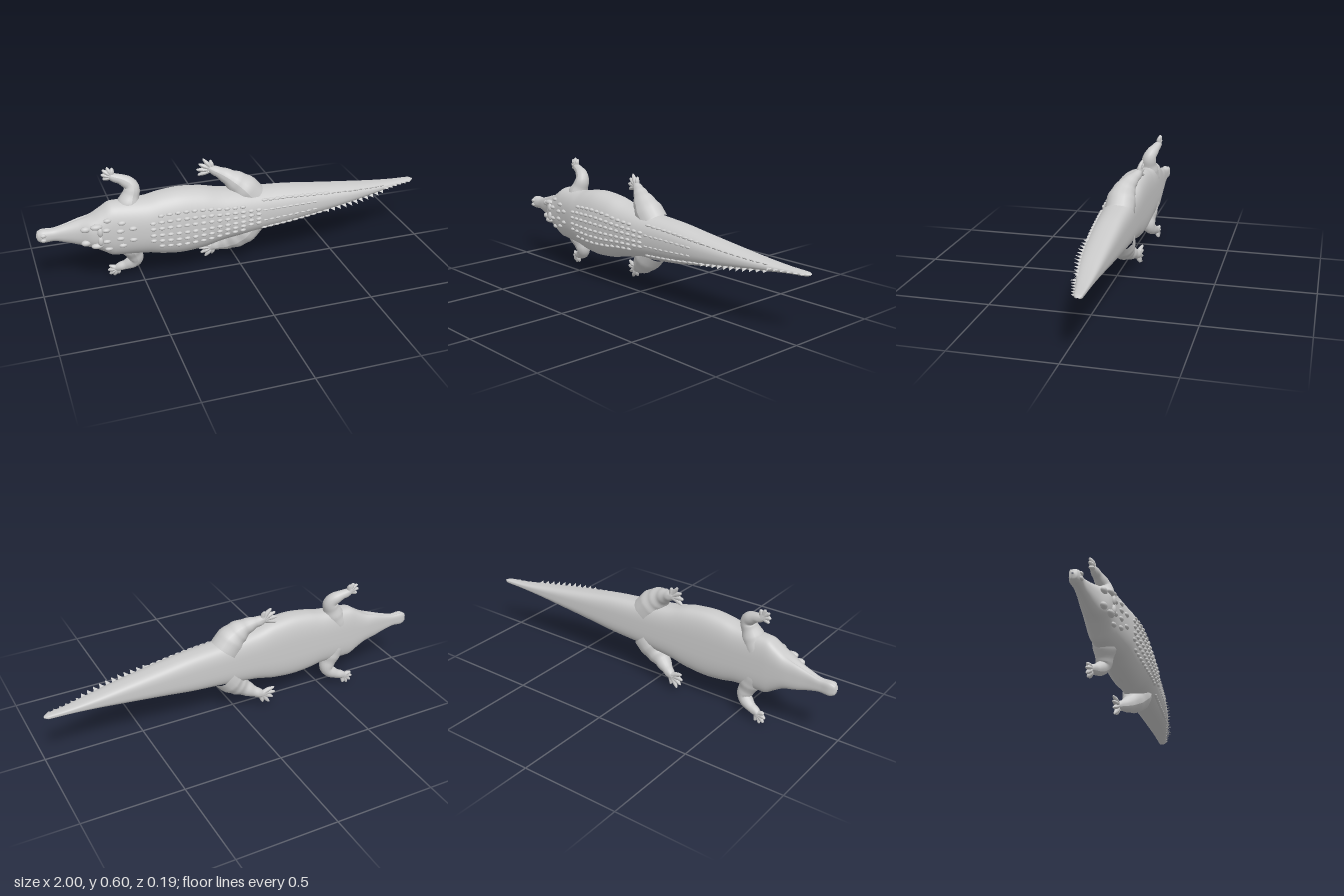
import * as THREE from 'three';
import { mergeGeometries } from 'three/addons/utils/BufferGeometryUtils.js';

// Body stations from snout to tail: x, half width, back z, belly z
const STATIONS = [
  [-1, 0.003, -0.06, -0.068], [-0.992, 0.024, -0.045, -0.082], [-0.965, 0.034, -0.034, -0.088],
  [-0.925, 0.032, -0.036, -0.085], [-0.87, 0.044, -0.026, -0.086], [-0.8, 0.066, -0.004, -0.092],
  [-0.74, 0.083, 0.03, -0.097], [-0.69, 0.112, 0.036, -0.099], [-0.64, 0.14, 0.042, -0.1],
  [-0.56, 0.142, 0.056, -0.1], [-0.48, 0.146, 0.07, -0.1], [-0.4, 0.162, 0.078, -0.1],
  [-0.31, 0.17, 0.084, -0.1], [-0.2, 0.16, 0.085, -0.1], [-0.1, 0.136, 0.083, -0.1],
  [0, 0.123, 0.079, -0.1], [0.1, 0.112, 0.072, -0.1], [0.25, 0.099, 0.062, -0.1],
  [0.4, 0.078, 0.05, -0.1], [0.6, 0.05, 0.024, -0.1], [0.78, 0.025, -0.014, -0.1],
  [0.9, 0.013, -0.045, -0.1], [0.98, 0.009, -0.062, -0.099], [1, 0.002, -0.078, -0.088],
];

// Smooth (limited Hermite) interpolation of the stations
function station(x) {
  const S = STATIONS, n = S.length;
  let i = 0;
  while (i < n - 2 && x > S[i + 1][0]) i++;
  const d = (j, k) => (S[j + 1][k] - S[j][k]) / (S[j + 1][0] - S[j][0]);
  const slope = (j, k) => {
    if (j === 0) return d(0, k);
    if (j === n - 1) return d(n - 2, k);
    const a = d(j - 1, k), b = d(j, k);
    return a * b <= 0 ? 0 : (2 * a * b) / (a + b);
  };
  const h = S[i + 1][0] - S[i][0], t = (x - S[i][0]) / h;
  return [1, 2, 3].map((k) =>
    (1 + 2 * t) * (1 - t) ** 2 * S[i][k] + t * (1 - t) ** 2 * h * slope(i, k) +
    t * t * (3 - 2 * t) * S[i + 1][k] + t * t * (t - 1) * h * slope(i + 1, k));
}

const spow = (v, p) => Math.sign(v) * Math.abs(v) ** p;

// Height of the back at a sideways offset y
function backZ(x, y) {
  const [w, top, bot] = station(x), mid = bot + 0.4 * (top - bot);
  const c = Math.min(1, Math.abs(y) / w) ** (1 / 0.85);
  return mid + (top - mid) * Math.sqrt(1 - c * c) ** 0.85;
}

// Rounded back, flatter belly, and a crease along the mouth
function bodyGeometry() {
  const rings = 180, sides = 56, pos = [], index = [];
  for (let i = 0; i <= rings; i++) {
    const x = -Math.cos((Math.PI * i) / rings);
    const [w, top, bot] = station(x), mid = bot + 0.4 * (top - bot);
    const jaw = THREE.MathUtils.smoothstep(-x, 0.72, 0.8);
    for (let j = 0; j < sides; j++) {
      const a = (2 * Math.PI * j) / sides, s = Math.sin(a);
      const crease = 1 - 0.13 * jaw * Math.exp(-(((s + 0.12) / 0.12) ** 2));
      const p = s > 0 ? 0.85 : 0.65;
      pos.push(x, w * spow(Math.cos(a), p) * crease,
        mid + spow(s, p) * (s > 0 ? top - mid : mid - bot));
      const k = (j + 1) % sides, A = i * sides + j, B = i * sides + k;
      if (i < rings) index.push(A, B, A + sides, B, B + sides, A + sides);
    }
  }
  const g = new THREE.BufferGeometry();
  g.setAttribute('position', new THREE.Float32BufferAttribute(pos, 3));
  g.setIndex(index);
  g.computeVertexNormals();
  return g;
}

// Round limb through [x, y, z, radius] points, closed at both ends
function limb(points, seg = 28, sides = 16) {
  const curve = new THREE.CatmullRomCurve3(points.map((p) => new THREE.Vector3(...p)));
  const g = new THREE.TubeGeometry(curve, seg, 1, sides);
  const P = g.attributes.position, v = new THREE.Vector3(), c = new THREE.Vector3();
  for (let i = 0; i < P.count; i++) {
    const u = Math.floor(i / (sides + 1)) / seg;
    curve.getPointAt(u, c);
    const f = u * (points.length - 1), k = Math.min(points.length - 2, Math.floor(f));
    const r = THREE.MathUtils.lerp(points[k][3], points[k + 1][3], THREE.MathUtils.smoothstep(f - k, 0, 1));
    const end = Math.sqrt(Math.max(0, 1 - Math.max(0, (u - 0.86) / 0.14) ** 2));
    v.fromBufferAttribute(P, i).sub(c).multiplyScalar(r * end).add(c);
    P.setXYZ(i, v.x, v.y, Math.max(-0.1, v.z));
  }
  g.computeVertexNormals();
  return g;
}

const ball = (x, y, z, a, b, c) => new THREE.SphereGeometry(1, 16, 10).scale(a, b, c).translate(x, y, z);

// Keeled scale resting on the back
const scute = (x, y, len, wid, h) => ball(x, y, backZ(x, y) - 0.002, len, wid, h);

// Thin swept-back tooth of the tail crest
const tooth = (x, y, len, h, tilt) => new THREE.ConeGeometry(1, 1, 10, 2)
  .rotateX(Math.PI / 2).scale(len, 0.005, h)
  .applyMatrix4(new THREE.Matrix4().makeShear(0, 0, 0, 0, 0.35, 0))
  .rotateX(-tilt).translate(x, y, backZ(x, y) + h * 0.3);

export function createModel() {
  const root = new THREE.Group();
  root.name = 'crocodile';
  root.position.y = 0.305;
  const material = new THREE.MeshStandardMaterial({ color: 0xcccccc, roughness: 0.8 });
  const add = (name, geos, parent = root) => {
    const m = new THREE.Mesh(mergeGeometries([].concat(geos)), material);
    m.name = name;
    parent.add(m);
  };
  add('body', bodyGeometry());

  // Head details, back scutes and tail crest, in mirrored pairs
  const eyes = [], nostrils = [], skull = [], neck = [], back = [], tail = [], crest = [];
  for (const s of [1, -1]) {
    eyes.push(ball(-0.775, s * 0.036, 0.008, 0.024, 0.015, 0.016));
    nostrils.push(ball(-0.968, s * 0.012, -0.036, 0.014, 0.009, 0.008));
    skull.push(ball(-0.725, s * 0.05, 0.026, 0.03, 0.014, 0.017), ball(-0.71, s * 0.024, 0.035, 0.014, 0.024, 0.012));
    for (const [x, y] of [[-0.68, 0.03], [-0.67, 0.075], [-0.615, 0.02], [-0.605, 0.06], [-0.555, 0.03]]) {
      neck.push(scute(x, s * y, 0.02, 0.011, 0.013));
    }
    for (let i = 0; i < 14; i++) {
      const x = -0.46 + i * 0.041;
      [0.018, 0.05, 0.082].forEach((y, r) => {
        if (r < 2 || (i > 0 && i < 12)) back.push(scute(x, s * y * (station(x)[0] / 0.16), 0.016, 0.009, 0.012));
      });
    }
    for (let i = 0; i < 11; i++) {
      const x = 0.11 + i * 0.034, w = station(x)[0];
      tail.push(scute(x, s * w * 0.68, 0.018, 0.007, 0.011));
      if (i < 9) tail.push(scute(x, s * w * 0.25, 0.015, 0.006, 0.007));
    }
    for (let i = 0; i < 11; i++) {
      const x = 0.46 + i * 0.033;
      crest.push(tooth(x, s * station(x)[0] * 0.7, 0.02, 0.026 + 0.012 * Math.sin((Math.PI * i) / 10), s * 0.4));
    }
  }
  for (let i = 0; i < 6; i++) crest.push(tooth(0.815 + i * 0.03, 0, 0.018, 0.03 - i * 0.003, 0));
  add('eyes', eyes);
  add('nostrils', nostrils);
  add('skullRidges', skull);
  add('neckScutes', neck);
  add('backScutes', back);
  add('tailScutes', tail);
  add('tailCrest', crest);

  // Legs: limb path, then digits fanning out of the foot
  const legs = {
    FrontLeg: {
      path: [[-0.575, 0.07, -0.04, 0.06], [-0.545, 0.14, -0.045, 0.054], [-0.53, 0.2, -0.055, 0.04],
        [-0.57, 0.232, -0.072, 0.032], [-0.61, 0.246, -0.082, 0.023], [-0.64, 0.262, -0.088, 0.016]],
      foot: [-0.618, 0.252, -0.087],
      tips: [[-0.66, 0.237], [-0.668, 0.262], [-0.66, 0.287], [-0.638, 0.298], [-0.612, 0.292]],
    },
    HindLeg: {
      path: [[0.065, 0.07, -0.03, 0.075], [0.02, 0.125, -0.03, 0.073], [-0.025, 0.165, -0.04, 0.058],
        [-0.07, 0.194, -0.06, 0.039], [-0.112, 0.213, -0.08, 0.026], [-0.145, 0.23, -0.089, 0.017]],
      foot: [-0.118, 0.216, -0.087],
      tips: [[-0.192, 0.19], [-0.198, 0.22], [-0.186, 0.25], [-0.163, 0.275], [-0.125, 0.265]],
    },
  };
  for (const [side, s] of [['upper', 1], ['lower', -1]]) {
    for (const [name, { path, foot, tips }] of Object.entries(legs)) {
      const g = new THREE.Group();
      g.name = side + name;
      root.add(g);
      const flip = ([x, y, z, r]) => [x, s * y, z, r];
      add('limb', limb(path.map(flip)), g);
      add('toes', tips.map(([x, y]) => limb([
        [...foot, 0.013], [(x + foot[0]) / 2, (y + foot[1]) / 2, -0.086, 0.012], [x, y, -0.094, 0.006],
      ].map(flip), 12, 10)), g);
    }
  }
  return root;
}
